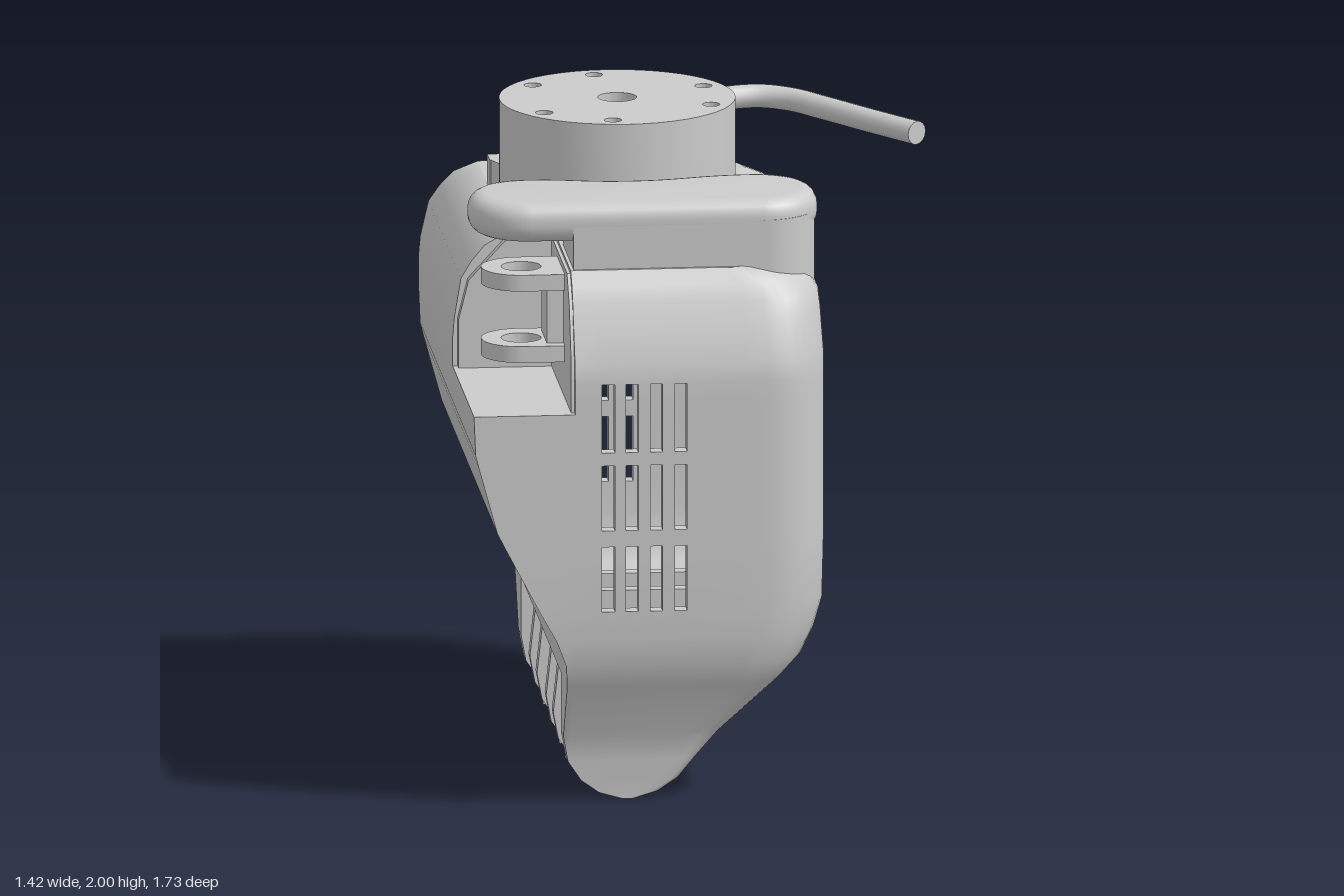
import * as THREE from 'three';
import { toCreasedNormals } from 'three/addons/utils/BufferGeometryUtils.js';

const grey = new THREE.MeshStandardMaterial({ color: 0xcccccc, side: THREE.DoubleSide });

// Housing cross-sections: y, min x, max x, half depth in z, corner radius
const ROWS = [
  [0, -0.25, -0.21, 0.68, 0.01], [0.02, -0.32, -0.14, 0.68, 0.02], [0.06, -0.375, -0.08, 0.685, 0.03],
  [0.12, -0.415, -0.03, 0.69, 0.04], [0.2, -0.43, 0.04, 0.7, 0.05], [0.38, -0.43, 0.22, 0.82, 0.12],
  [0.45, -0.435, 0.285, 0.85, 0.16], [0.53, -0.465, 0.325, 0.86, 0.18], [0.62, -0.515, 0.35, 0.865, 0.18],
  [0.82, -0.62, 0.355, 0.865, 0.18], [0.87, -0.645, 0.355, 0.865, 0.18], [1.07, -0.7, 0.355, 0.865, 0.18],
  [1.11, -0.71, 0.355, 0.865, 0.18], [1.23, -0.715, 0.355, 0.865, 0.18], [1.25, -0.715, 0.355, 0.865, 0.18],
  [1.32, -0.715, 0.355, 0.865, 0.18], [1.38, -0.71, 0.355, 0.86, 0.18], [1.5, -0.69, 0.35, 0.81, 0.18],
  [1.55, -0.66, 0.345, 0.79, 0.18], [1.6, -0.62, 0.315, 0.765, 0.18], [1.64, -0.55, 0.24, 0.72, 0.18],
];
const VENT_X = [[-0.33, -0.29], [-0.257, -0.22], [-0.183, -0.147], [-0.11, -0.073]];
const VENT_Y = [[0.62, 0.82], [0.87, 1.07], [1.11, 1.32]];
const GRID_X = [-9, -0.41, ...VENT_X.flat(), 0.1, 9];
const GRID_Z = [9, 0.62, 0.2, -0.62, -0.63, -9];
const within = (v, list) => list.some(([a, b]) => v > a && v < b);
const clamp = THREE.MathUtils.clamp;

// One horizontal loop of the housing, inset by t
function loop([y, x0, x1, zh, r], t) {
  const mid = (x0 + x1) / 2;
  const a = Math.min(x0 + t, mid), b = Math.max(x1 - t, mid), d = zh - t;
  const q = Math.min(Math.max(r - t, 0.01), b - a);
  const pts = [];
  const add = (x, z) => pts.push(new THREE.Vector3(x, y, z));
  const arc = (cz, from) => {
    for (let k = 1; k < 8; k++) {
      const w = from - (k / 8) * Math.PI / 2;
      add(b - q + q * Math.cos(w), cz + q * Math.sin(w));
    }
  };
  GRID_X.forEach(x => add(clamp(x, a, b - q), d));
  arc(d - q, Math.PI / 2);
  GRID_Z.forEach(z => add(b, clamp(z, q - d, d - q)));
  arc(q - d, 0);
  [...GRID_X].reverse().forEach(x => add(clamp(x, a, b - q), -d));
  [...GRID_Z].reverse().slice(1, -1).forEach(z => add(a, clamp(z, -d, d)));
  return pts;
}

// Openings: vents, hinge pocket, rear corner notch, finger slots
function isOpen({ x, y, z }) {
  if (within(x, VENT_X) && within(y, VENT_Y)) return true;
  if (x < -0.41 && z > 0.2 && y > 1.23) return true;
  if (x > 0.1 && z < -0.63 && y > 1.25 && y < 1.55) return true;
  return Math.abs(z) < 0.62 && y < (x < -0.2 ? 0.38 : 0.2);
}

// Thick-walled shell: outer and inner skins joined by rims around each opening
function shellGeometry() {
  const out = ROWS.map(r => loop(r, 0)), inn = ROWS.map(r => loop(r, 0.05));
  const n = out[0].length, pos = [];
  const tri = (a, b, c) => {
    const area = b.clone().sub(a).cross(c.clone().sub(a)).length();
    if (area > 1e-7) pos.push(...a.toArray(), ...b.toArray(), ...c.toArray());
  };
  const quad = (a, b, c, d) => { tri(a, b, c); tri(a, c, d); };
  const solid = (j, i) => {
    if (j < 0 || j >= ROWS.length - 1) return false;
    const k = (i + n) % n, m = (k + 1) % n, c = new THREE.Vector3();
    [out[j][k], out[j][m], out[j + 1][k], out[j + 1][m]].forEach(p => c.addScaledVector(p, 0.25));
    return !isOpen(c);
  };
  for (let j = 0; j < ROWS.length - 1; j++) for (let i = 0; i < n; i++) {
    if (!solid(j, i)) continue;
    const m = (i + 1) % n, o = out, s = inn;
    quad(o[j][i], o[j][m], o[j + 1][m], o[j + 1][i]);
    quad(s[j][m], s[j][i], s[j + 1][i], s[j + 1][m]);
    if (!solid(j - 1, i)) quad(o[j][m], o[j][i], s[j][i], s[j][m]);
    if (!solid(j + 1, i)) quad(o[j + 1][i], o[j + 1][m], s[j + 1][m], s[j + 1][i]);
    if (!solid(j, i - 1)) quad(o[j][i], o[j + 1][i], s[j + 1][i], s[j][i]);
    if (!solid(j, i + 1)) quad(o[j + 1][m], o[j][m], s[j][m], s[j + 1][m]);
  }
  const g = new THREE.BufferGeometry();
  g.setAttribute('position', new THREE.Float32BufferAttribute(pos, 3));
  return toCreasedNormals(g, 0.6);
}

const poly = pts => new THREE.Shape(pts.map(([x, y]) => new THREE.Vector2(x, y)));
const hole = (x, y, r) => new THREE.Path().absarc(x, y, r, 0, Math.PI * 2, true);
function extrude(shape, depth, bevel = 0) {
  const g = new THREE.ExtrudeGeometry(shape, {
    depth: depth - 2 * bevel, curveSegments: 24, bevelEnabled: bevel > 0,
    bevelSize: bevel, bevelThickness: bevel, bevelSegments: 5,
  });
  return toCreasedNormals(g.translate(0, 0, bevel), 0.6);
}
// Shape drawn in x,z and extruded down from y = top
const slab = (shape, top, h, bevel) => extrude(shape, h, bevel).rotateX(Math.PI / 2).translate(0, top, 0);
// Shape drawn in -z,y and extruded along x
const alongX = (shape, x, w) => extrude(shape, w).rotateY(Math.PI / 2).translate(x, 0, 0);

export function createModel() {
  const group = new THREE.Group();
  const add = (name, geo, x = 0, y = 0, z = 0) => {
    const m = new THREE.Mesh(geo, grey);
    m.name = name;
    m.position.set(x, y, z);
    group.add(m);
    return m;
  };
  const box = (name, x0, x1, y0, y1, z0, z1) =>
    add(name, new THREE.BoxGeometry(x1 - x0, y1 - y0, z1 - z0), (x0 + x1) / 2, (y0 + y1) / 2, (z0 + z1) / 2);

  add('housing', shellGeometry());

  // Lid with the pocket notch and a cable slot
  const lid = new THREE.Shape().moveTo(-0.55, -0.72);
  lid.lineTo(0.06, -0.72).absarc(0.06, -0.54, 0.18, -Math.PI / 2, 0);
  lid.lineTo(0.24, 0.54).absarc(0.06, 0.54, 0.18, 0, Math.PI / 2);
  lid.lineTo(-0.41, 0.72).lineTo(-0.41, 0.2).lineTo(-0.55, 0.2);
  lid.holes.push(poly([[-0.14, -0.48], [-0.14, -0.44], [-0.03, -0.44], [-0.03, -0.48]]));
  add('lid', slab(lid, 1.64, 0.05));

  // Hinge pocket
  box('pocketFloor', -0.69, -0.39, 1.19, 1.23, 0.2, 0.83);
  add('pocketSideWall', alongX(poly([[-0.22, 1.2], [-0.22, 1.63], [-0.71, 1.63], [-0.78, 1.55],
    [-0.84, 1.38], [-0.84, 1.2]]), -0.42, 0.04));
  add('pocketBackWall', extrude(poly([[-0.7, 1.2], [-0.4, 1.2], [-0.4, 1.63], [-0.55, 1.63],
    [-0.67, 1.5], [-0.7, 1.38]]), 0.04), 0, 0, 0.19);
  for (const top of [1.61, 1.39]) {
    const lug = new THREE.Shape().moveTo(-0.4, 0.4);
    lug.lineTo(-0.4, 0.64).lineTo(-0.54, 0.64).absarc(-0.54, 0.52, 0.12, Math.PI / 2, Math.PI * 1.5);
    lug.holes.push(hole(-0.54, 0.52, 0.06));
    add('hingeLug', slab(lug, top, 0.05));
  }
  box('hingeWeb', -0.47, -0.4, 1.36, 1.58, 0.44, 0.6);

  // Kidney-shaped front cap overhanging the pocket
  const cap = new THREE.Shape().moveTo(-0.55, 0.38);
  cap.bezierCurveTo(-0.38, 0.37, -0.36, 0.42, -0.2, 0.42);
  cap.bezierCurveTo(-0.04, 0.42, 0, 0.37, 0.17, 0.37);
  cap.absarc(0.17, 0.5, 0.13, -Math.PI / 2, 0).absarc(0.17, 0.53, 0.13, 0, Math.PI / 2);
  cap.absarc(-0.52, 0.53, 0.13, Math.PI / 2, Math.PI).absarc(-0.52, 0.51, 0.13, Math.PI, Math.PI * 1.5);
  add('frontCap', slab(cap, 1.84, 0.12, 0.05));
  const base = new THREE.Shape().moveTo(-0.4, 0.38);
  base.lineTo(-0.2, 0.38).lineTo(0.02, 0.33).lineTo(0.18, 0.33);
  base.absarc(0.18, 0.49, 0.16, -Math.PI / 2, 0).absarc(0.18, 0.55, 0.16, 0, Math.PI / 2);
  base.lineTo(-0.4, 0.71);
  add('frontCapBase', slab(base, 1.78, 0.26));

  // Round flange with bolt holes, standing on a mounting plate
  const disc = new THREE.Shape().absarc(-0.2, 0, 0.355, 0, Math.PI * 2);
  disc.holes.push(hole(-0.2, 0, 0.058));
  for (const deg of [-24, 24, 98, 143, 217, 262]) {
    const w = deg * Math.PI / 180;
    disc.holes.push(hole(-0.2 + 0.297 * Math.cos(w), 0.297 * Math.sin(w), 0.026));
  }
  add('flange', slab(disc, 2, 0.36));
  add('mountPlate', slab(poly([[-0.55, -0.36], [0.15, -0.36], [0.15, -0.15], [-0.55, -0.15]].map(
    ([x, z], i) => [i > 1 ? (x > 0 ? 0.06 : -0.46) : x, z])), 1.73, 0.1));
  box('mountBar', -0.55, 0.15, 1.64, 1.73, -0.43, -0.35);
  box('connector', -0.28, -0.15, 1.64, 1.7, -0.48, -0.42);
  for (const x of [-0.515, 0.115])
    add('barScrew', new THREE.CylinderGeometry(0.033, 0.033, 0.06, 16).rotateX(Math.PI / 2), x, 1.685, -0.435);

  // Bent cable
  const path = new THREE.CatmullRomCurve3([[0.06, 1.95, -0.09], [0.15, 1.955, -0.145], [0.25, 1.955, -0.16],
    [0.34, 1.95, -0.125], [0.42, 1.945, -0.04], [0.55, 1.94, 0.125], [0.675, 1.937, 0.285]]
    .map(p => new THREE.Vector3(...p)));
  add('cable', new THREE.TubeGeometry(path, 48, 0.036, 16));
  const end = add('cableEnd', new THREE.CircleGeometry(0.036, 16));
  end.position.copy(path.getPoint(1));
  end.lookAt(path.getPoint(1).add(path.getTangent(1)));

  // Finger knuckles: rounded tabs in pairs, joined by an arched bridge
  const low = ROWS.filter(r => r[0] < 0.5);
  const ease = y => (y > 0.3 ? 0.02 : 0);
  const tab = poly([...low.map(([y, , x]) => [x - ease(y), y]),
    ...[...low].reverse().map(([y, x]) => [x + ease(y), y])]);
  for (const s of [-1, 1]) {
    for (const z of [0.143, 0.363]) add('knuckleTab', extrude(tab, 0.045), 0, 0, s * z - 0.0225);
    const c = -s * 0.253;
    const arch = new THREE.Shape().moveTo(c - 0.11, 0.22);
    arch.lineTo(c - 0.11, 0.05).lineTo(c - 0.09, 0.05).absarc(c, 0.05, 0.09, Math.PI, 0, true);
    arch.lineTo(c + 0.11, 0.05).lineTo(c + 0.11, 0.22);
    add('knuckleBridge', alongX(arch, -0.39, 0.35));
  }
  add('knucklePin', new THREE.CylinderGeometry(0.03, 0.03, 1.28, 20).rotateX(Math.PI / 2), -0.23, 0.165, 0);

  // Housing screws
  for (const [x, y, z] of [[0.12, 0.28, 0.61], [0.12, 0.28, -0.61], [0.32, 1.58, 0]]) {
    const screw = add('housingScrew', new THREE.TorusGeometry(0.03, 0.01, 8, 20), x, y, z);
    screw.lookAt(x + 1, y + (y > 1 ? 0.8 : -1), z);
  }
  return group;
}
